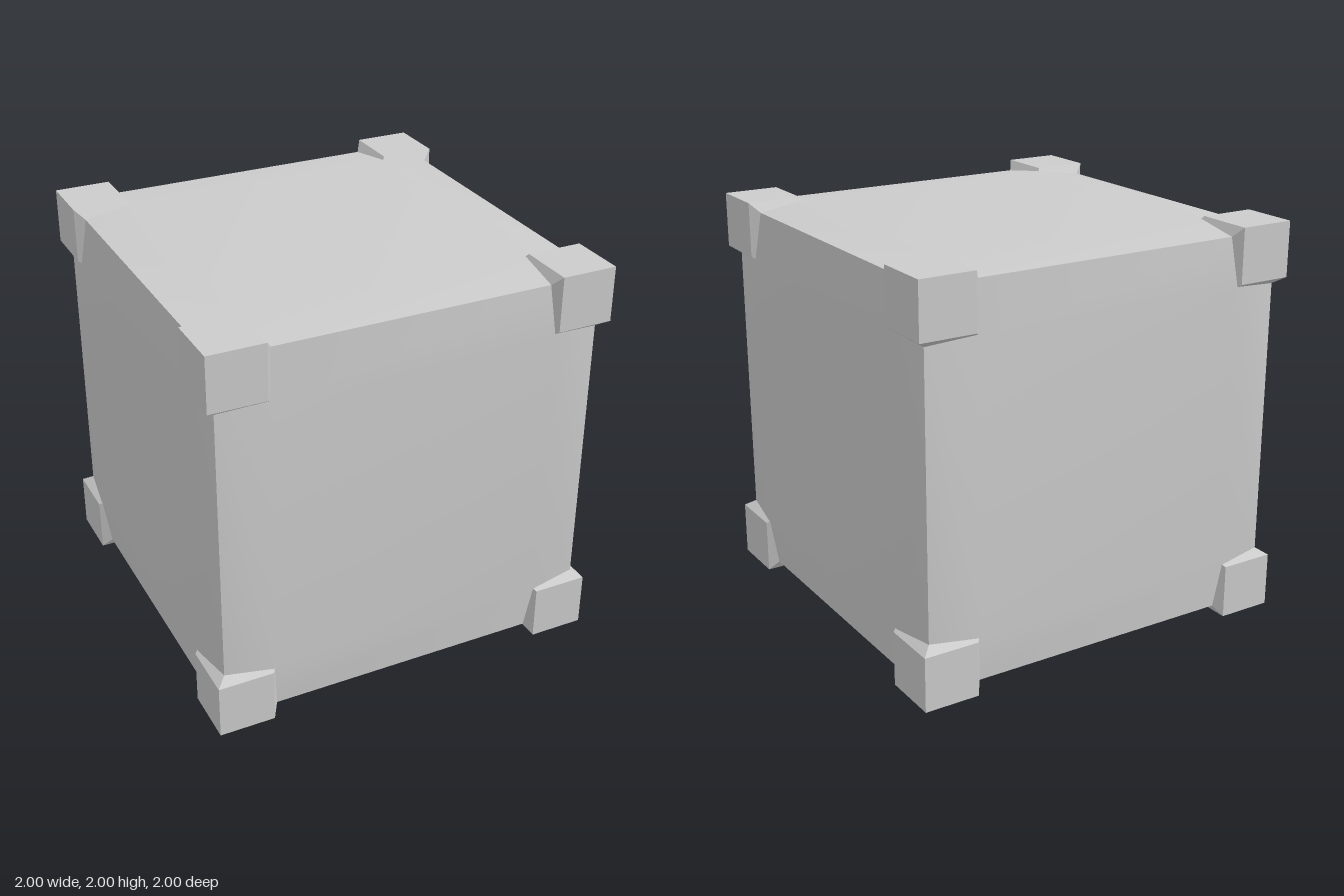
import * as THREE from 'three';

const EDGE = 0.952;   // half size of the cube at its sharp edges
const FACE = 0.986;   // height of the raised middle of each panel
const INSET = 0.7;    // half size of the raised middle
const DEPTH = 0.9;    // how deep the corner caps reach into the cube
const INNER = [0.722, 0.727, 0.71]; // inner limits of the corner caps on x, y, z
const FLARE = 0.07;   // widening of the caps towards their roots

function quadGeometry(points, quads) {
  const geometry = new THREE.BufferGeometry();
  geometry.setAttribute('position', new THREE.Float32BufferAttribute(points.flat(), 3));
  geometry.setIndex(quads.flatMap(([a, b, c, d]) => [a, b, c, a, c, d]));
  geometry.computeVertexNormals();
  return geometry;
}

// Softly raised panel: a sloping rim around a flat middle, facing +z
function panelGeometry() {
  const ring = (s, z) => [[-s, -s, z], [s, -s, z], [s, s, z], [-s, s, z]];
  const quads = [[4, 5, 6, 7]];
  for (let i = 0; i < 4; i++) {
    const n = (i + 1) % 4;
    quads.push([i, n, n + 4, i + 4]);
  }
  return quadGeometry([...ring(EDGE, EDGE), ...ring(INSET, FACE)], quads);
}

// Corner cap: three outer squares and flared, creased walls running into the cube
function cornerGeometry(signs) {
  const points = [], quads = [];
  const mirrored = signs[0] * signs[1] * signs[2] < 0;
  const addQuad = (axes, corners, flip) => {
    const start = points.length;
    for (const corner of corners) {
      const p = [0, 0, 0];
      axes.forEach((axis, n) => { p[axis] = corner[n] * signs[axis]; });
      points.push(p);
    }
    const order = [0, 1, 2, 3].map((n) => start + n);
    quads.push(flip !== mirrored ? order.reverse() : order);
  };
  for (let k = 0; k < 3; k++) {
    const i = (k + 1) % 3, j = (k + 2) % 3;
    const a = INNER[i], b = INNER[j];
    addQuad([i, j, k], [[a, b, 1], [1, b, 1], [1, 1, 1], [a, 1, 1]], false);
    for (const [u, v, flip] of [[i, j, false], [j, i, true]]) {
      const p = INNER[u], q = INNER[v];
      addQuad([u, v, k], [
        [p, 1, 1], [p - FLARE, DEPTH, DEPTH], [p - FLARE, q - FLARE, DEPTH], [p, q, 1],
      ], flip);
    }
  }
  return quadGeometry(points, quads);
}

export function createModel() {
  const model = new THREE.Group();
  model.name = 'corneredCube';
  const smooth = new THREE.MeshStandardMaterial({ color: 0xcccccc });
  const flat = new THREE.MeshStandardMaterial({ color: 0xcccccc, flatShading: true });

  // Cube body from six panels
  const body = new THREE.Group();
  body.name = 'body';
  const panel = panelGeometry();
  const H = Math.PI / 2;
  const turns = {
    frontPanel: [0, 0], rightPanel: [0, -H], backPanel: [0, 2 * H],
    leftPanel: [0, H], topPanel: [-H, 0], bottomPanel: [H, 0],
  };
  for (const [name, [rx, ry]] of Object.entries(turns)) {
    const mesh = new THREE.Mesh(panel, smooth);
    mesh.name = name;
    mesh.rotation.set(rx, ry, 0);
    body.add(mesh);
  }
  body.position.y = 1;
  model.add(body);

  // Eight corner caps
  const corners = new THREE.Group();
  corners.name = 'cornerCaps';
  for (const x of [-1, 1]) for (const y of [-1, 1]) for (const z of [-1, 1]) {
    const cap = new THREE.Mesh(cornerGeometry([x, y, z]), flat);
    cap.name = `${y > 0 ? 'top' : 'bottom'}${z > 0 ? 'Front' : 'Back'}${x > 0 ? 'Left' : 'Right'}Cap`;
    corners.add(cap);
  }
  corners.position.y = 1;
  model.add(corners);

  return model;
}
